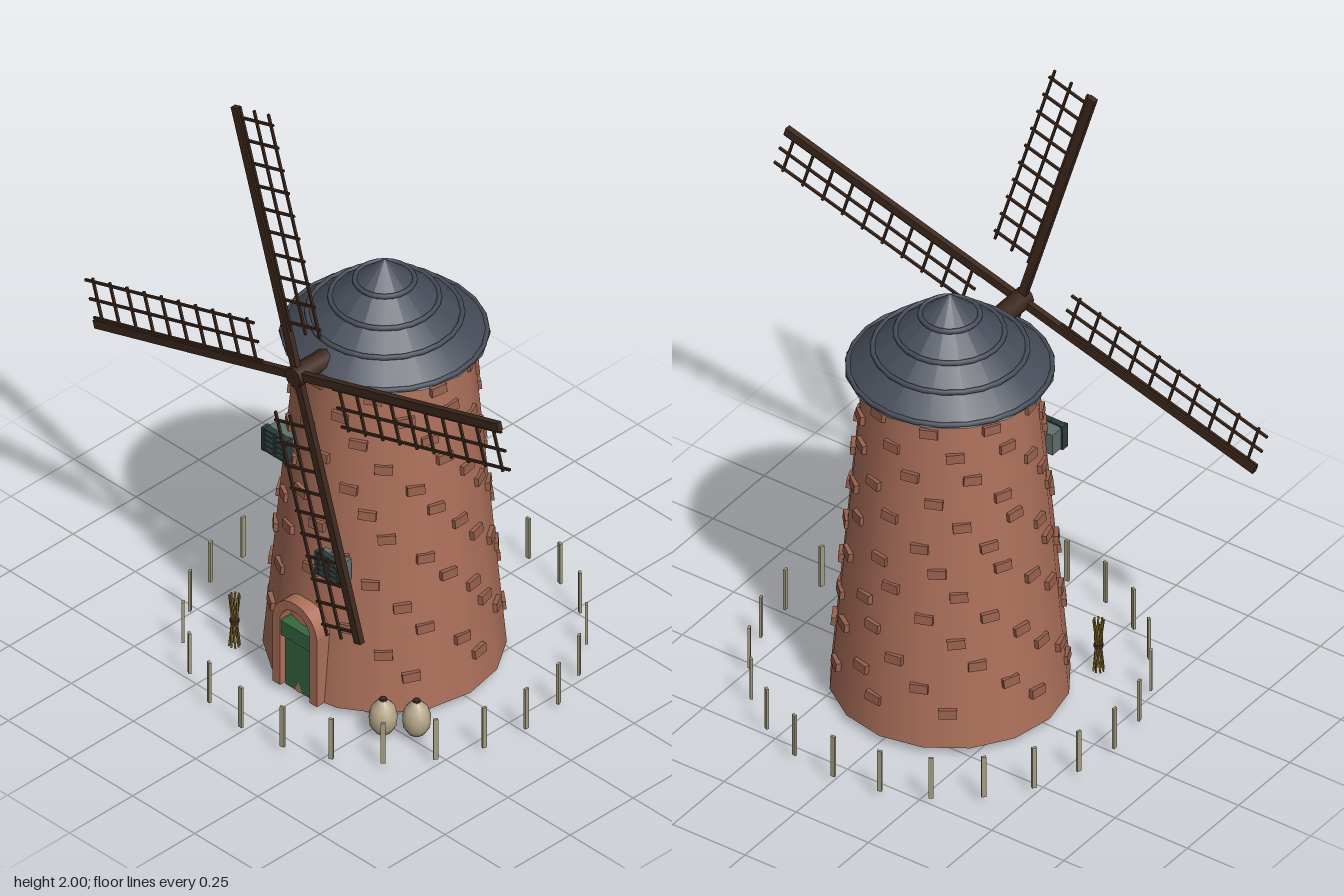
import * as THREE from 'three';

const mat = (name, color, side = THREE.FrontSide) => {
  const m = new THREE.MeshStandardMaterial({ color, side });
  m.name = name;
  return m;
};

export function createModel() {
  const brick = mat('brick', 0xad705b);
  const darkBrick = mat('dark brick', 0x97604d);
  const slate = mat('slate', 0x474d59);
  const wood = mat('dark wood', 0x3c281c);
  const green = mat('door green', 0x35683f);
  const frameGrey = mat('window frame', 0x2c3a3a);
  const pane = mat('window pane', 0x60706c);
  const post = mat('weathered wood', 0xa39c80);
  const sackCloth = mat('sackcloth', 0xb8a88c);
  const straw = mat('straw', 0x806a28);

  const root = new THREE.Group();
  root.name = 'windmill';
  const group = (name, parent = root) => {
    const g = new THREE.Group();
    g.name = name;
    parent.add(g);
    return g;
  };
  const add = (parent, name, geo, material, x = 0, y = 0, z = 0) => {
    const m = new THREE.Mesh(geo, material);
    m.name = name;
    m.position.set(x, y, z);
    parent.add(m);
    return m;
  };
  const box = (w, h, d) => new THREE.BoxGeometry(w, h, d);
  let seed = 7;
  const rand = () => (seed = (seed * 16807) % 2147483647) / 2147483647;

  // Tapered tower
  const y0 = 0.03, y1 = 1.13, r0 = 0.345, r1 = 0.247;
  const radiusAt = y => r0 + (r1 - r0) * (y - y0) / (y1 - y0);
  add(root, 'tower', new THREE.CylinderGeometry(r1, r0, y1 - y0, 16), brick, 0, (y0 + y1) / 2, 0);

  // Raised bricks, spiralling round the tower
  const bricks = group('raisedBricks');
  const brickGeo = box(0.052, 0.028, 0.02);
  const lean = Math.atan((r0 - r1) / (y1 - y0));
  for (let row = 0; row < 13; row++) {
    const y = 1.065 - row * 0.0765;
    for (let i = 0; i < 9; i++) {
      const a = i / 9 * Math.PI * 2 + row * 0.26 + (rand() - 0.5) * 0.16;
      const front = Math.abs(Math.atan2(Math.sin(a), Math.cos(a)));
      if (y < 0.4 && front < 0.36) continue; // keep the doorway clear
      const r = radiusAt(y) - 0.002;
      const b = add(bricks, 'raisedBrick', brickGeo, darkBrick, Math.sin(a) * r, y, Math.cos(a) * r);
      b.rotation.set(-lean, a, (rand() - 0.5) * 0.16, 'YXZ');
    }
  }

  // Conical roof with raised rings
  const roof = group('roof');
  add(roof, 'roofCone', new THREE.ConeGeometry(0.3, 0.255, 16), slate, 0, 1.2475, 0);
  for (const [r, y] of [[0.29, 1.127], [0.22, 1.19], [0.155, 1.245], [0.085, 1.305]]) {
    const ring = add(roof, 'roofRing', new THREE.TorusGeometry(r, 0.008, 6, 24), slate, 0, y, 0);
    ring.rotation.x = Math.PI / 2;
  }

  // Sails on their shaft
  const rotor = group('rotor');
  rotor.position.set(0, 1.147, 0.345);
  const shaft = add(rotor, 'shaft', new THREE.CylinderGeometry(0.032, 0.032, 0.14, 8), wood, 0, 0, -0.05);
  shaft.rotation.x = Math.PI / 2;
  for (let k = 0; k < 4; k++) {
    const sail = group('sail', rotor);
    sail.rotation.z = THREE.MathUtils.degToRad(17 + 90 * k);
    add(sail, 'spar', box(0.85, 0.026, 0.018), wood, 0.425, 0, 0);
    for (const v of [0.017, 0.077, 0.137]) add(sail, 'sailRail', box(0.71, 0.007, 0.007), wood, 0.497, -v, 0);
    for (let i = 0; i < 10; i++) add(sail, 'sailRung', box(0.007, 0.148, 0.007), wood, 0.17 + i * 0.072, -0.074, 0);
  }

  // Door with brick surround
  const doorway = group('doorway');
  add(doorway, 'door', box(0.106, 0.225, 0.06), green, 0, 0.1425, 0.312);
  add(doorway, 'doorLintel', box(0.132, 0.05, 0.06), green, 0, 0.231, 0.324);
  for (const s of [-1, 1]) add(doorway, 'doorJamb', box(0.03, 0.23, 0.07), brick, s * 0.074, 0.145, 0.322);
  const arch = new THREE.Shape();
  arch.absarc(0, 0, 0.089, 0, Math.PI, false);
  arch.absarc(0, 0, 0.06, Math.PI, 0, true);
  add(doorway, 'doorArch', new THREE.ExtrudeGeometry(arch, { depth: 0.07, bevelEnabled: false, curveSegments: 12 }),
    brick, 0, 0.257, 0.287);

  // Barred windows facing forward
  for (const [x, y, z, depth] of [[-0.15, 0.79, 0.285, 0.06], [0.1, 0.505, 0.32, 0.045]]) {
    const win = group('window');
    win.position.set(x, y, z);
    add(win, 'windowPane', box(0.09, 0.07, depth), pane, 0, 0, -depth / 2);
    for (const s of [-1, 1]) add(win, 'windowSide', box(0.012, 0.08, 0.025), frameGrey, s * 0.044, 0, -0.005);
    for (let i = 0; i < 5; i++) add(win, 'windowSlat', box(0.1, 0.007, 0.02), frameGrey, 0, -0.036 + i * 0.018, -0.004);
    add(win, 'windowMullion', box(0.007, 0.08, 0.02), frameGrey, 0, 0, -0.004);
  }

  // Ring of fence posts
  const fence = group('fence');
  for (let i = 0; i < 24; i++) {
    const a = i / 24 * Math.PI * 2;
    const p = add(fence, 'fencePost', box(0.014, 0.14, 0.008), post, Math.sin(a) * 0.57, 0.095, Math.cos(a) * 0.57);
    p.rotation.y = a;
  }

  // Grain sacks
  const sackProfile = [[0, 0], [0.025, 0.002], [0.039, 0.025], [0.042, 0.055], [0.034, 0.085], [0.015, 0.106], [0.01, 0.112], [0, 0.114]]
    .map(p => new THREE.Vector2(...p));
  for (const [x, z] of [[0.367, 0.235], [0.295, 0.297]]) {
    const sack = group('sack');
    sack.position.set(x, 0.025, z);
    add(sack, 'sackBody', new THREE.LatheGeometry(sackProfile, 12), sackCloth);
    add(sack, 'sackTie', new THREE.CylinderGeometry(0.011, 0.013, 0.008, 8), wood, 0, 0.111, 0);
  }

  // Straw sheaf, pinched at the waist
  const sheaf = group('strawSheaf');
  sheaf.position.set(-0.305, 0.095, 0.295);
  for (let i = 0; i < 8; i++) {
    const a = i / 8 * Math.PI * 2;
    const stalk = add(sheaf, 'stalk', new THREE.CylinderGeometry(0.003, 0.003, 0.178, 5), straw,
      Math.cos(a) * 0.009, 0, Math.sin(a) * 0.009);
    stalk.rotation.set(0.14, -a, 0, 'YXZ');
  }
  add(sheaf, 'sheafTie', new THREE.CylinderGeometry(0.014, 0.014, 0.012, 8), wood);

  return root;
}
